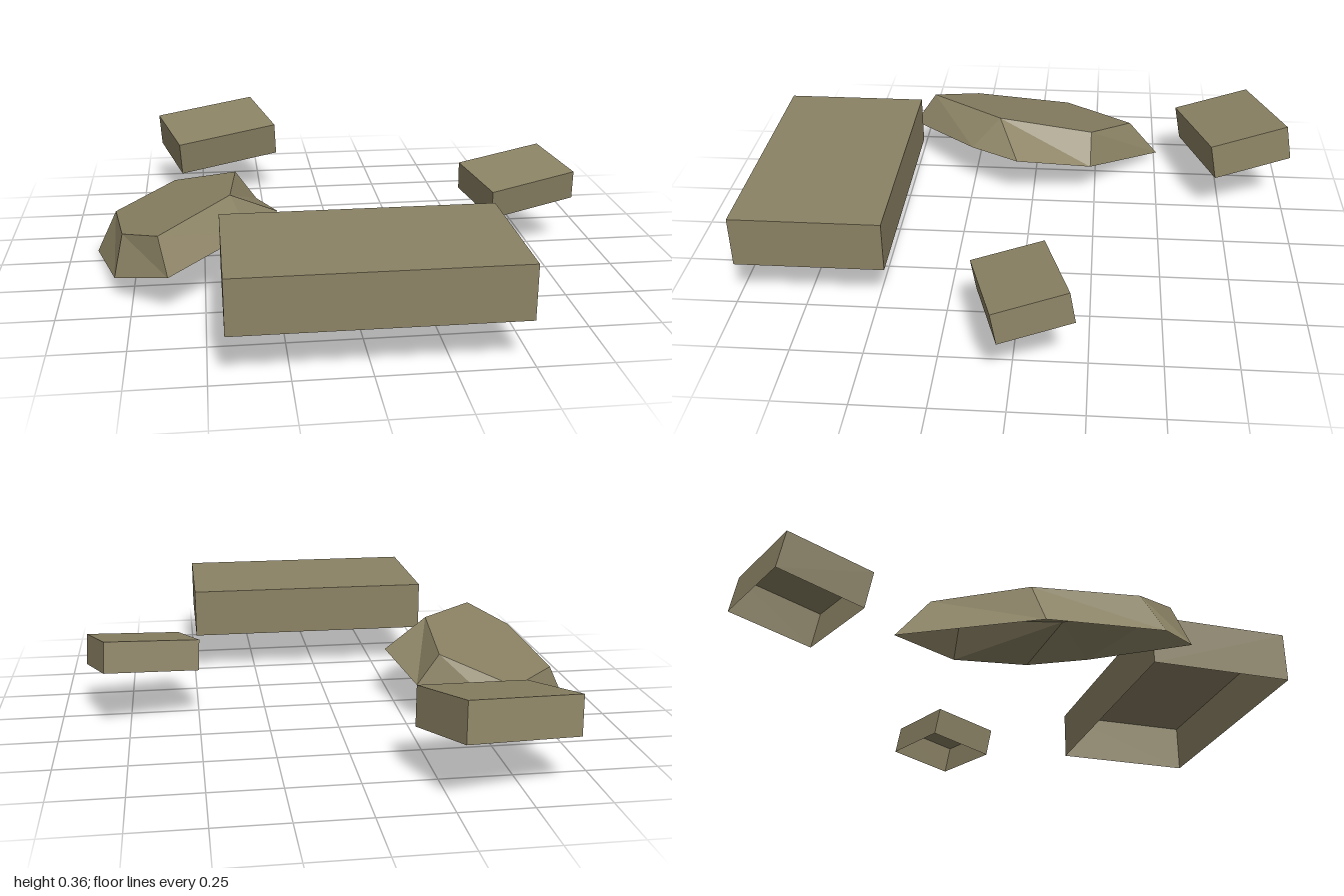
import * as THREE from 'three';

const stone = new THREE.MeshStandardMaterial({ color: 0x8b8264, flatShading: true, side: THREE.DoubleSide });
stone.name = 'stone';

// Open-bottomed block: back left top corner, its two top edges, and the thickness below them
function block(name, corner, across, forward, thickness) {
  const u = new THREE.Vector3(...across);
  const v = new THREE.Vector3(...forward);
  const n = v.clone().cross(u).setLength(thickness);
  const geometry = new THREE.BoxGeometry(1, 1, 1).translate(0.5, -0.5, 0.5);
  const index = Array.from(geometry.index.array);
  index.splice(18, 6); // leave out the underside
  geometry.setIndex(index);
  geometry.clearGroups();
  geometry.applyMatrix4(new THREE.Matrix4().makeBasis(u, n, v).setPosition(...corner));
  geometry.computeVertexNormals();
  const mesh = new THREE.Mesh(geometry, stone);
  mesh.name = name;
  return mesh;
}

// Tilted faceted shell: two outlines (x, z) on parallel sloping planes
function boulder() {
  const rim = [[-0.64, -0.51], [-0.29, -0.23], [-0.225, 0.06], [-0.34, 0.25], [-0.62, 0.525], [-0.81, 0.34], [-0.905, -0.1]];
  const crown = [[-0.61, -0.39], [-0.37, -0.23], [-0.4, 0.14], [-0.4, 0.14], [-0.65, 0.44], [-0.78, 0.27], [-0.83, -0.12]];
  const lift = (rise) => ([x, z]) => [x, 0.242 + 0.255 * x + 0.116 * z + rise, z];
  const low = rim.map(lift(0));
  const high = crown.map(lift(0.134));
  const points = [];
  const tri = (...corners) => corners.forEach((c) => points.push(...c));
  for (let i = 0; i < low.length; i++) {
    const j = (i + 1) % low.length;
    tri(low[j], low[i], high[j]);
    if (i !== 2) tri(low[i], high[i], high[j]); // the crown has one corner fewer
    if (i > 0 && i !== 2 && j > 0) tri(high[0], high[j], high[i]);
  }
  const geometry = new THREE.BufferGeometry();
  geometry.setAttribute('position', new THREE.Float32BufferAttribute(points, 3));
  geometry.computeVertexNormals();
  const mesh = new THREE.Mesh(geometry, stone);
  mesh.name = 'boulder';
  return mesh;
}

export function createModel() {
  const group = new THREE.Group();
  group.name = 'stoneGroup';
  group.add(
    block('largeSlab', [-0.445, 0.34, 0.465], [0.935, 0, 0], [0, 0, 0.53], 0.185),
    block('backSlab', [-0.68, 0.315, -0.87], [0.405, 0.042, -0.118], [0.09, -0.05, 0.295], 0.135),
    block('sideSlab', [0.49, 0.305, -0.09], [0.335, 0.035, -0.098], [0.075, -0.04, 0.245], 0.112),
    boulder(),
  );
  return group;
}
